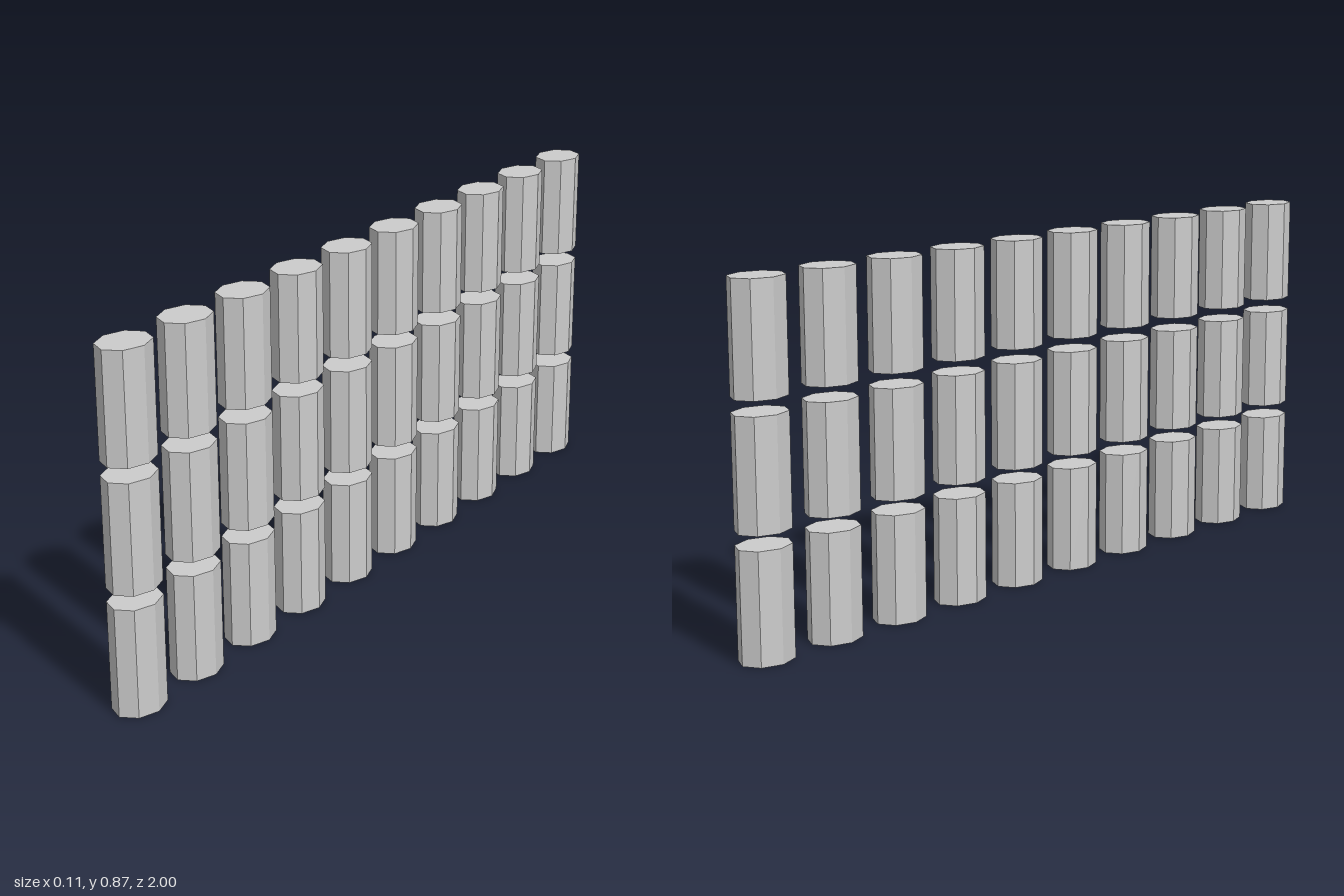
import * as THREE from 'three';

const COLUMNS = 10, ROWS = 3;
const HEIGHT = 0.268, ROW_STEP = 0.3025;
const HALF_X = 0.057, HALF_Z = 0.0715;

export function createModel() {
  const model = new THREE.Group();
  model.name = 'cylinderWall';
  const material = new THREE.MeshStandardMaterial({ color: 0xcccccc, flatShading: true });

  // Eight-sided cylinder, slightly longer along the row than it is thick
  const geometry = new THREE.CylinderGeometry(1, 1, HEIGHT, 8);
  geometry.scale(HALF_X, 1, HALF_Z);
  geometry.translate(0, HEIGHT / 2, 0);

  // Three separate tiers of ten cylinders lined up along z
  const firstZ = 1 - HALF_Z;
  const stepZ = (2 * firstZ) / (COLUMNS - 1);
  for (let row = 0; row < ROWS; row++) {
    const tier = new THREE.Group();
    tier.name = `tier${row + 1}`;
    tier.position.y = row * ROW_STEP;
    for (let column = 0; column < COLUMNS; column++) {
      const cylinder = new THREE.Mesh(geometry, material);
      cylinder.name = `cylinder${column + 1}`;
      cylinder.position.z = firstZ - column * stepZ;
      tier.add(cylinder);
    }
    model.add(tier);
  }
  return model;
}
